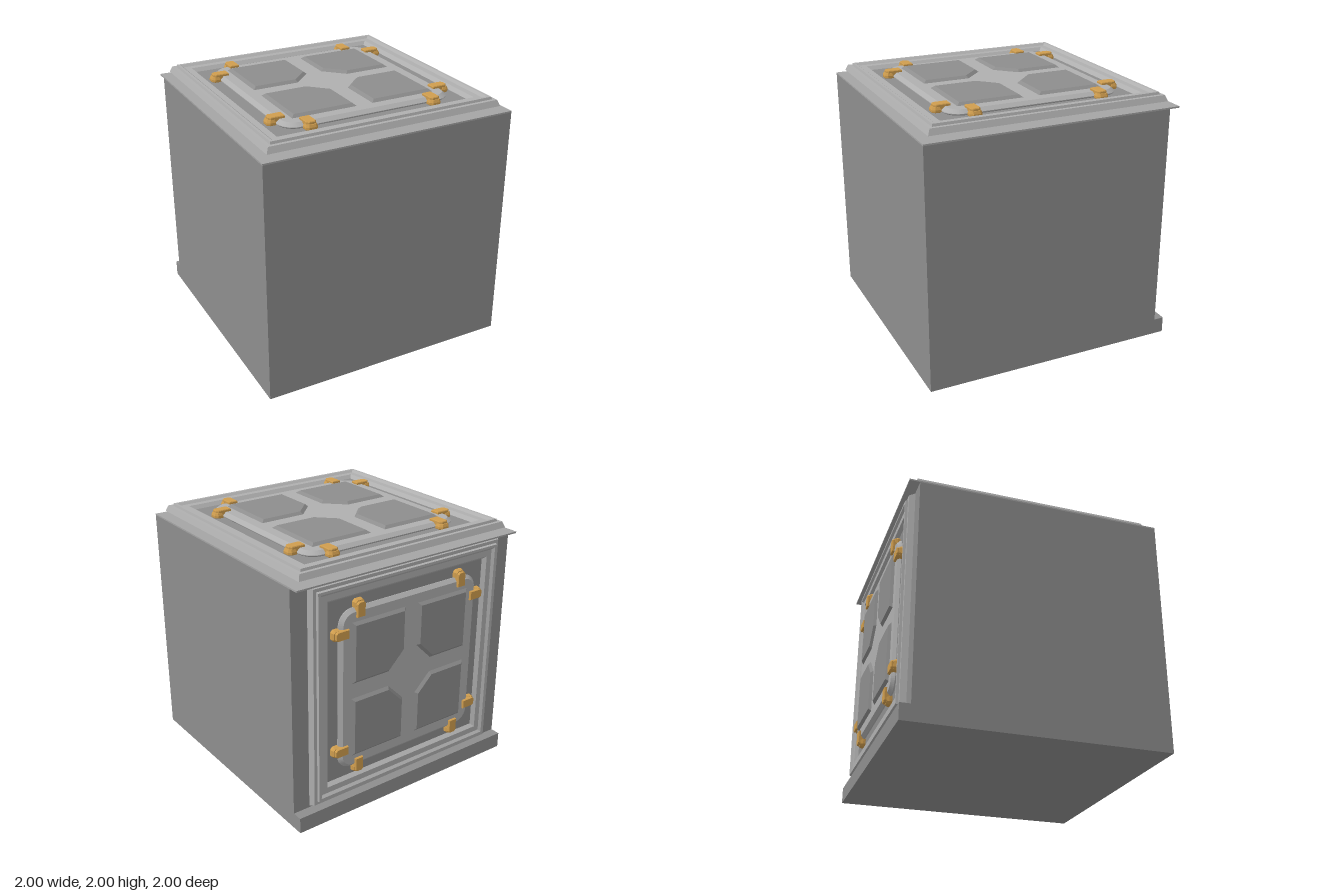
import * as THREE from 'three';

const paint = (color) => new THREE.MeshStandardMaterial({ color, flatShading: true });
const darkGrey = paint(0x8d8d8d);
const midGrey = paint(0xa4a4a4);
const lightGrey = paint(0xafafaf);
const brass = paint(0xcf9d4e);

function add(parent, name, geometry, material) {
  const mesh = new THREE.Mesh(geometry, material);
  mesh.name = name;
  parent.add(mesh);
  return mesh;
}

function box(parent, name, material, w, h, d, x, y, z) {
  add(parent, name, new THREE.BoxGeometry(w, h, d), material).position.set(x, y, z);
}

// Raised plate lying flat, its sloped edge ending at the given top height
function raisedPlate(shape, bottom, top, slope, rise) {
  const geometry = new THREE.ExtrudeGeometry(shape, {
    depth: top - bottom - 2 * rise, bevelEnabled: true, bevelThickness: rise,
    bevelSize: slope, bevelOffset: -slope, bevelSegments: 1, curveSegments: 6,
  });
  return geometry.rotateX(-Math.PI / 2).translate(0, bottom + rise, 0);
}

function roundedSquare(half, r) {
  const s = new THREE.Shape();
  for (let i = 0; i < 4; i++) {
    const start = i * Math.PI / 2, mid = start + Math.PI / 4;
    const c = (half - r) * Math.SQRT2;
    s.absarc(c * Math.cos(mid), c * Math.sin(mid), r, start, start + Math.PI / 2);
  }
  return s;
}

function polygon(points) {
  return new THREE.Shape(points.map(([x, y]) => new THREE.Vector2(x, y)));
}

// Bar along +x with its outer corners cut
function barShape(inner, outer, half, cut) {
  return polygon([[inner, -half], [outer - cut, -half], [outer, cut - half],
    [outer, half - cut], [outer - cut, half], [inner, half]]);
}

// Clip pointing along +x, gripping the edge of the hatch
function createClip() {
  const clip = new THREE.Group();
  clip.name = 'clip';
  add(clip, 'clipArm', raisedPlate(barShape(0.615, 0.738, 0.038, 0.016), 0.015, 0.079, 0.004, 0.006), brass);
  add(clip, 'clipFoot', raisedPlate(barShape(0.69, 0.753, 0.047, 0.02), 0.005, 0.06, 0.008, 0.02), brass);
  return clip;
}

// Square hatch panel facing +y, resting on y = 0
function createPanel(name) {
  const panel = new THREE.Group();
  panel.name = name;

  // Stepped frame: four-sided lathe from a profile of half width and height
  const profile = [[0, 0], [0.86, 0], [0.94, 0.001], [0.922, 0.046], [0.895, 0.046],
    [0.89, 0.065], [0.87, 0.065], [0.85, 0.048], [0.8, 0.048], [0.775, 0.02]]
    .map(([r, y]) => new THREE.Vector2(r * Math.SQRT2, y));
  add(panel, 'steppedFrame', new THREE.LatheGeometry(profile, 4, Math.PI / 4), lightGrey);
  box(panel, 'recessFloor', darkGrey, 1.55, 0.016, 1.55, 0, 0.012, 0);

  // Rounded hatch with four raised plates around a cross
  add(panel, 'hatch', raisedPlate(roundedSquare(0.69, 0.13), 0.005, 0.06, 0.03, 0.025), lightGrey);
  const a = 0.065, b = 0.58, cut = 0.15;
  for (const sx of [1, -1]) {
    for (const sz of [1, -1]) {
      const corners = [[a + cut, a], [b, a], [b, b], [a, b], [a, a + cut]]
        .map(([x, y]) => [x * sx, y * sz]);
      if (sx * sz < 0) corners.reverse();
      add(panel, 'raisedPlate', raisedPlate(polygon(corners), 0.03, 0.08, 0.024, 0.02), darkGrey);
    }
  }

  // Two clips on each side
  for (let side = 0; side < 4; side++) {
    const pair = new THREE.Group();
    pair.name = 'clipPair';
    pair.rotation.y = side * Math.PI / 2;
    for (const z of [-0.505, 0.505]) {
      const clip = createClip();
      clip.position.z = z;
      pair.add(clip);
    }
    panel.add(pair);
  }
  return panel;
}

export function createModel() {
  const model = new THREE.Group();
  model.name = 'crate';

  // Block body with a rear sill and a thin overhanging lid plate
  box(model, 'body', darkGrey, 2, 1.88, 1.92, 0, 0.94, 0.04);
  box(model, 'rearSill', darkGrey, 2, 0.125, 0.08, 0, 0.0625, -0.96);
  box(model, 'lidPlate', midGrey, 2, 0.012, 2, 0, 1.886, 0);

  const topPanel = createPanel('topPanel');
  topPanel.position.y = 1.92;
  model.add(topPanel);

  // The rear panel is smaller but equally thick
  const backPanel = createPanel('backPanel');
  backPanel.scale.set(0.92, 1, 0.92);
  backPanel.rotation.x = -Math.PI / 2;
  backPanel.position.set(0, 1.005, -0.92);
  model.add(backPanel);

  return model;
}
